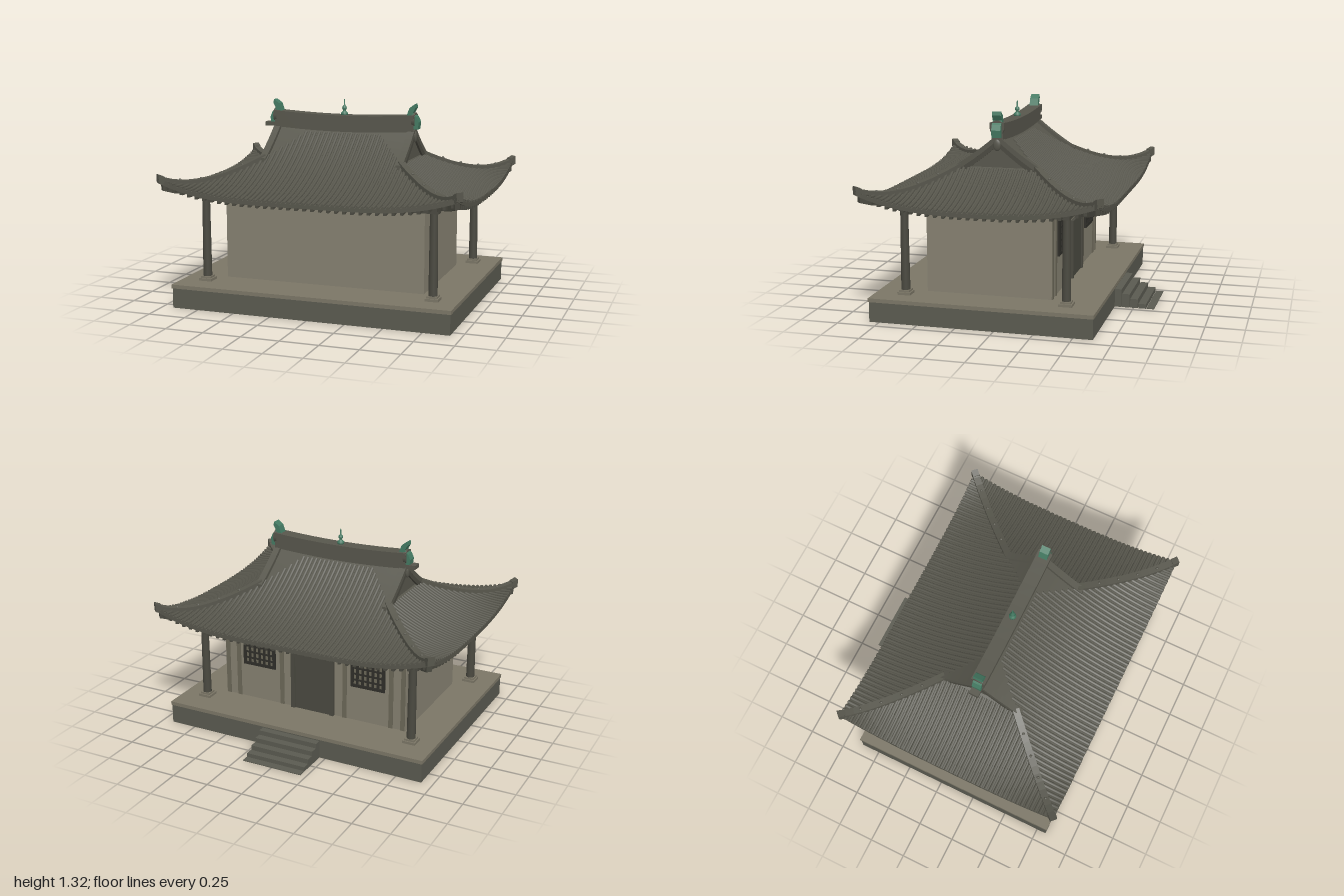
import * as THREE from 'three';
import { mergeGeometries } from 'three/addons/utils/BufferGeometryUtils.js';

const mat = (name, color, side = THREE.FrontSide) => {
  const m = new THREE.MeshStandardMaterial({ color, side });
  m.name = name;
  return m;
};
const CZ = 0.095, LX = 0.98, LZ = 0.765, BREAK = 0.49; // roof centre, half sizes, hip-to-gable break

// roof height: t = distance in from the eave, c = distance from the corner along the eave
const roofY = (t, c) => 0.745 + 0.136 * t + 0.48 * t * t +
  0.1 * Math.max(0, 1 - c / 0.8) ** 3 * Math.max(0, 1 - t / 0.5) ** 2;

const V = (x, y, z) => new THREE.Vector3(x, y, z);
const range = (n, f) => Array.from({ length: n }, (_, i) => f(i));

// open surface from a rule p(u, v)
function sheet(nu, nv, p) {
  const pos = [], idx = [];
  for (let j = 0; j <= nv; j++) for (let i = 0; i <= nu; i++) {
    pos.push(...p(i / nu, j / nv).toArray());
    if (i < nu && j < nv) {
      const a = j * (nu + 1) + i, b = a + nu + 1;
      idx.push(a, a + 1, b, a + 1, b + 1, b);
    }
  }
  const g = new THREE.BufferGeometry();
  g.setAttribute('position', new THREE.Float32BufferAttribute(pos, 3));
  g.setIndex(idx);
  g.computeVertexNormals();
  return g;
}

// rectangular bar (w wide, h tall, standing on the path)
function sweep(pts, w, h) {
  const pos = [], idx = [], n = pts.length;
  pts.forEach((p, i) => {
    const d = pts[Math.min(i + 1, n - 1)].clone().sub(pts[Math.max(i - 1, 0)]).setY(0).normalize();
    const r = d.cross(V(0, 1, 0)).multiplyScalar(w / 2);
    for (const [s, y] of [[-1, 0], [1, 0], [1, h], [-1, h]]) pos.push(p.x + s * r.x, p.y + y, p.z + s * r.z);
    if (i < n - 1) for (let j = 0; j < 4; j++) {
      const a = i * 4 + j, b = i * 4 + (j + 1) % 4;
      idx.push(a, a + 4, b, b, a + 4, b + 4);
    }
  });
  const e = (n - 1) * 4;
  idx.push(0, 1, 2, 0, 2, 3, e, e + 2, e + 1, e, e + 3, e + 2);
  const g = new THREE.BufferGeometry();
  g.setAttribute('position', new THREE.Float32BufferAttribute(pos, 3));
  g.setIndex(idx);
  const flat = g.toNonIndexed();
  flat.computeVertexNormals();
  return flat;
}

export function createModel() {
  const root = new THREE.Group();
  const wallM = mat('plaster', 0x858070), stone = mat('stone', 0x5a5a50), cap = mat('paving', 0x7b7666);
  const tile = mat('roofTile', 0x57564c, THREE.DoubleSide), wood = mat('darkWood', 0x4a4940);
  const dark = mat('shadowPanel', 0x2f2e29), trim = mat('trimWood', 0x6b6758), green = mat('patina', 0x447a62);

  const add = (name, geo, m, x = 0, y = 0, z = 0, parent = root) => {
    const mesh = new THREE.Mesh(geo, m);
    mesh.name = name;
    mesh.position.set(x, y, z);
    parent.add(mesh);
    return mesh;
  };
  const box = (name, m, x0, x1, y0, y1, z0, z1, parent) => add(name,
    new THREE.BoxGeometry(x1 - x0, y1 - y0, z1 - z0), m, (x0 + x1) / 2, (y0 + y1) / 2, (z0 + z1) / 2, parent);

  // platform and steps
  box('platform', stone, -0.925, 0.925, 0, 0.13, -0.625, 0.815);
  box('platformPaving', cap, -0.93, 0.93, 0.13, 0.155, -0.63, 0.82);
  [0.12, 0.09, 0.06, 0.03, 0.005].forEach((h, i) =>
    box('step', stone, -0.21, 0.21, 0, h, -0.67 - i * 0.054, -0.62 - i * 0.054));

  // hall, posts and ring beam
  box('hallWalls', wallM, -0.675, 0.675, 0.155, 0.77, -0.31, 0.51);
  for (const x of [-0.765, 0.765]) {
    for (const z of [-0.425, 0.625]) {
      box('columnBase', cap, x - 0.043, x + 0.043, 0.155, 0.172, z - 0.043, z + 0.043);
      box('columnPlinth', cap, x - 0.034, x + 0.034, 0.172, 0.185, z - 0.034, z + 0.034);
      add('column', new THREE.CylinderGeometry(0.025, 0.029, 0.53, 16), wood, x, 0.445, z);
    }
    box('sideBeam', wood, x - 0.025, x + 0.025, 0.7, 0.765, -0.45, 0.65);
  }
  for (const z of [-0.425, 0.625]) box('longBeam', wood, -0.8, 0.8, 0.7, 0.765, z - 0.025, z + 0.025);

  // entrance wall: door, sign, posts, lattice windows
  box('door', wood, -0.13, 0.13, 0.155, 0.53, -0.322, -0.31);
  for (const s of [-1, 1]) {
    box('doorJamb', wood, s * 0.143 - 0.015, s * 0.143 + 0.015, 0.155, 0.55, -0.332, -0.31);
    for (const x of [0.655, 0.57, 0.235]) box('wallPost', trim, s * x - 0.015, s * x + 0.015, 0.155, 0.7, -0.316, -0.31);
    const win = new THREE.Group();
    win.name = 'latticeWindow';
    win.position.set(s * 0.405, 0.535, -0.31);
    root.add(win);
    box('windowPanel', trim, -0.115, 0.115, -0.125, 0.125, -0.005, 0, win);
    for (const e of [-1, 1]) {
      box('windowStile', dark, e * 0.112 - 0.01, e * 0.112 + 0.01, -0.135, 0.135, -0.014, 0, win);
      box('windowRail', dark, -0.12, 0.12, e * 0.125 - 0.01, e * 0.125 + 0.01, -0.014, 0, win);
    }
    for (let i = -2; i <= 2; i++) {
      box('latticeUpright', dark, i * 0.037 - 0.008, i * 0.037 + 0.008, -0.125, 0.125, -0.011, 0, win);
      box('latticeBar', dark, -0.112, 0.112, i * 0.042 - 0.006, i * 0.042 + 0.006, -0.011, 0, win);
    }
  }
  box('doorLintel', wood, -0.158, 0.158, 0.525, 0.55, -0.332, -0.31);
  box('nameBoard', wood, -0.11, 0.11, 0.58, 0.655, -0.325, -0.31);

  // four roof slopes: tiles, ribs, eave edge, soffit, rafters
  const roof = new THREE.Group();
  roof.name = 'roof';
  roof.position.z = CZ;
  root.add(roof);
  for (let k = 0; k < 4; k++) {
    const side = k % 2 === 1, L = side ? LZ : LX, D = side ? LX : LZ;
    const slope = new THREE.Group();
    slope.name = side ? 'sideSlope' : 'mainSlope';
    slope.rotation.y = k * Math.PI / 2;
    roof.add(slope);
    const P = (s, t, dy = 0) => V(s, roofY(t, L - Math.abs(s)) + dy, D - t);
    const width = t => side ? L - t : Math.max(L - t, BREAK);
    const tMax = side ? 0.53 : LZ;
    const surf = (t0, t1, dy) => sheet(40, 16, (u, v) => {
      const t = t0 + (t1 - t0) * v;
      return P((u * 2 - 1) * width(t), t, dy);
    });
    add('slopeSurface', surf(0, tMax, 0), tile, 0, 0, 0, slope);
    add('soffit', surf(0.005, 0.42, -0.022), tile, 0, 0, 0, slope);
    add('eaveEdge', sheet(40, 1, (u, v) => P((u * 2 - 1) * L, 0, -0.024 * v)), tile, 0, 0, 0, slope);

    const ribs = [], rafters = [], n = Math.floor((L - 0.02) / 0.032);
    for (let i = -n; i <= n; i++) {
      const s = i * 0.032, end = Math.min(side ? 0.5 : 0.72, L - Math.abs(s));
      const path = new THREE.CatmullRomCurve3(range(7, j => P(s, end * j / 6, 0.003)));
      ribs.push(new THREE.TubeGeometry(path, 10, 0.011, 6));
      const disc = new THREE.CircleGeometry(0.012, 8);
      const e = P(s, 0, 0.002);
      ribs.push(disc.translate(e.x, e.y, e.z + 0.002));
    }
    add('tileRibs', mergeGeometries(ribs), tile, 0, 0, 0, slope);
    const m = Math.floor((L - 0.04) / 0.052);
    for (let i = -m; i <= m; i++) {
      const s = i * 0.052, end = Math.min(0.38, L - Math.abs(s));
      rafters.push(sweep(range(5, j => P(s, 0.015 + (end - 0.015) * j / 4, -0.045)), 0.02, 0.024));
    }
    add('rafters', mergeGeometries(rafters), wood, 0, 0, 0, slope);
  }

  // hip ridges, descending ridges and corner rafters
  for (const sx of [-1, 1]) for (const sz of [-1, 1]) {
    const hip = (t, dy) => V(sx * (LX - t), roofY(t, t) + dy, sz * (LZ - t));
    const rake = (x, dy) => range(11, i => {
      const t = BREAK - 0.02 + (LZ - BREAK + 0.02) * i / 10;
      return V(sx * x, roofY(t, 1) + dy, sz * (LZ - t));
    });
    add('hipRidge', sweep(range(15, i => hip(-0.005 + 0.515 * i / 14, -0.012)), 0.045, 0.04), tile, 0, 0, 0, roof);
    add('hipCap', sweep([hip(-0.004, -0.022), hip(0.025, -0.022)], 0.046, 0.056), tile, 0, 0, 0, roof);
    add('hipRafter', sweep(range(8, i => hip(0.015 + 0.385 * i / 7, -0.06)), 0.035, 0.045), wood, 0, 0, 0, roof);
    for (const t of [0.1, 0.2, 0.3, 0.4]) {
      const p = hip(t, 0.028);
      add('ridgeNub', new THREE.SphereGeometry(0.01, 8, 6), tile, p.x, p.y, p.z, roof);
    }
    add('descendingRidge', sweep(rake(0.468, -0.01), 0.045, 0.038), tile, 0, 0, 0, roof);
    add('bargeboard', sweep(rake(0.482, -0.045), 0.014, 0.04), wood, 0, 0, 0, roof);
  }

  // gable walls with hanging ornament, and ridge-end figures
  const gable = new THREE.Shape();
  gable.moveTo(-0.29, 0.88);
  for (let i = -8; i <= 8; i++) gable.lineTo(i * 0.29 / 8, roofY(LZ - Math.abs(i) * 0.29 / 8, 1) - 0.004);
  gable.lineTo(0.29, 0.88);
  const fish = new THREE.Shape([[0.492, 1.305], [0.455, 1.278], [0.438, 1.23], [0.46, 1.2], [0.478, 1.14],
    [0.513, 1.14], [0.519, 1.187], [0.503, 1.222], [0.478, 1.246], [0.497, 1.28]]
    .map(([x, y]) => new THREE.Vector2(x, y)));
  for (const s of [-1, 1]) {
    const g = new THREE.ExtrudeGeometry(gable, { depth: 0.02, bevelEnabled: false });
    add('gableWall', g.rotateY(Math.PI / 2), tile, s * 0.455 - 0.01, 0, 0, roof);
    add('gableOrnament', new THREE.SphereGeometry(0.03, 12, 10), tile, s * 0.49, 1.09, 0, roof).scale.set(0.35, 1.25, 0.85);
    const f = add('ridgeFish', new THREE.ExtrudeGeometry(fish, { depth: 0.06, bevelEnabled: false }), green, 0, 0, -0.03 * s, roof);
    f.rotation.y = s > 0 ? 0 : Math.PI;
    add('ridgeEndTile', new THREE.CylinderGeometry(0.048, 0.048, 0.02, 16).rotateZ(Math.PI / 2), tile, s * 0.482, 1.2, 0, roof);
  }

  // main ridge in two layers, pole end and finial
  const ridge = (y, half) => range(13, i => {
    const u = i / 6 - 1;
    return V(u * half, y + 0.02 * u * u, 0);
  });
  add('ridgeLower', sweep(ridge(1.105, 0.485), 0.075, 0.075), tile, 0, 0, 0, roof);
  add('ridgeUpper', sweep(ridge(1.178, 0.49), 0.095, 0.036), tile, 0, 0, 0, roof);
  box('ridgePoleEnd', tile, -0.555, -0.44, 1.125, 1.152, -0.032, 0.032, roof);
  const finial = [[0, 1.21], [0.022, 1.212], [0.024, 1.228], [0.012, 1.24], [0.008, 1.246], [0.016, 1.256],
    [0.014, 1.268], [0.005, 1.28], [0.003, 1.318], [0, 1.32]].map(([x, y]) => new THREE.Vector2(x, y));
  add('finial', new THREE.LatheGeometry(finial, 16), green, 0, 0, 0, roof);
  return root;
}
